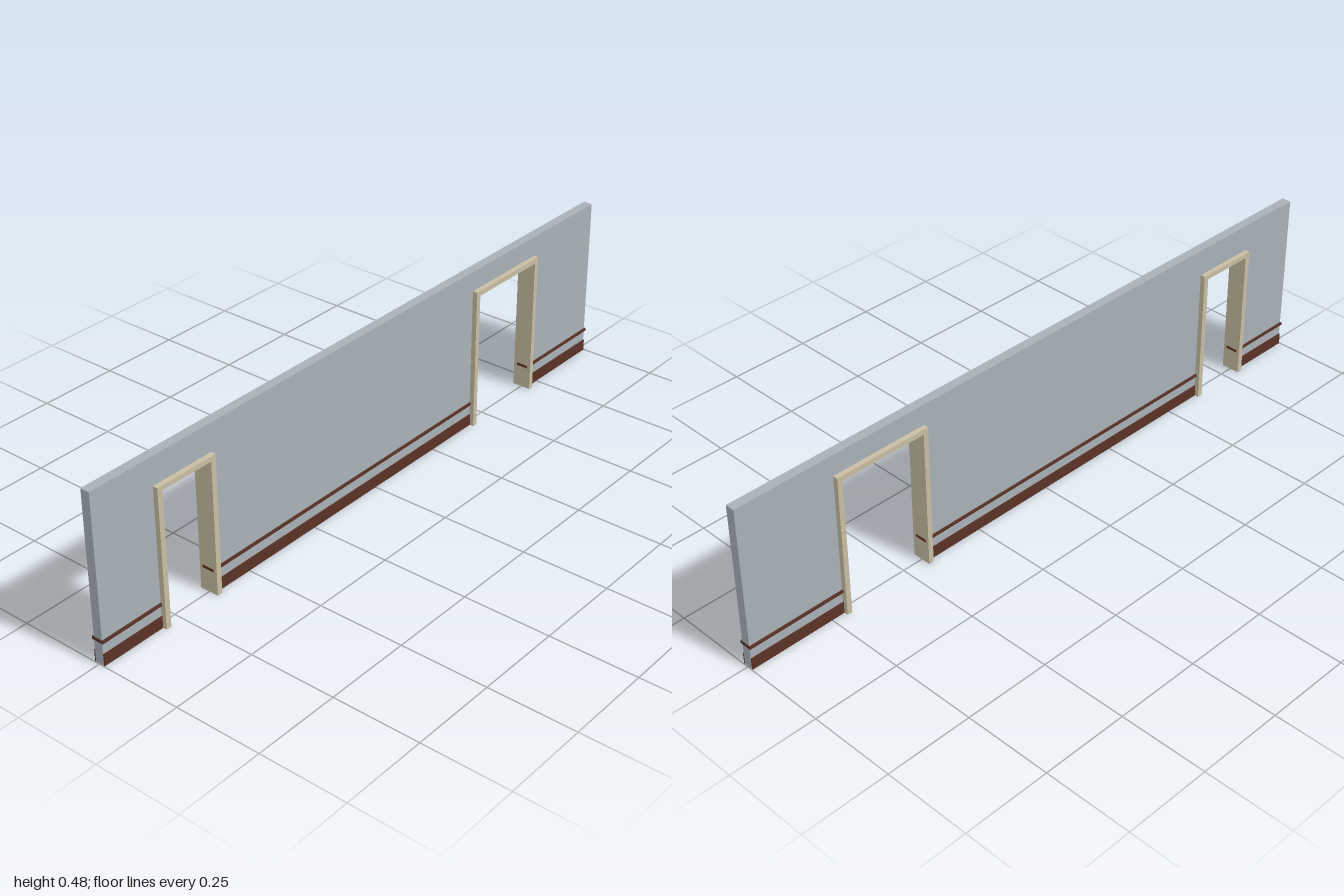
import * as THREE from 'three';

const material = (name, color) => {
  const m = new THREE.MeshStandardMaterial({ color });
  m.name = name;
  return m;
};

// outer and inner edges of the two door frames
const DOORS = [
  { x0: -0.806, x1: -0.612, top: 0.4, jamb: 0.016, head: 0.014 },
  { x0: 0.422, x1: 0.711, top: 0.42, jamb: 0.015, head: 0.015 },
];
const END = 0.998, HEIGHT = 0.479;
const WALL_Z = 0.0135, FRAME_Z = 0.028, RAIL_Z = 0.018, BASE_Z = 0.0163;

export function createModel() {
  const group = new THREE.Group();
  const wallPaint = material('wall grey', 0xa8b1b8);
  const framePaint = material('frame beige', 0xc9bda3);
  const wood = material('dark wood', 0x5a3225);

  // extrude an outline, centred on z = 0
  const slab = (name, points, halfDepth, mat) => {
    const shape = new THREE.Shape(points.map(([x, y]) => new THREE.Vector2(x, y)));
    const geo = new THREE.ExtrudeGeometry(shape, { depth: halfDepth * 2, bevelEnabled: false });
    geo.translate(0, 0, -halfDepth);
    const mesh = new THREE.Mesh(geo, mat);
    mesh.name = name;
    group.add(mesh);
  };
  const box = (name, x0, x1, y0, y1, z0, z1, mat) => {
    const mesh = new THREE.Mesh(new THREE.BoxGeometry(x1 - x0, y1 - y0, z1 - z0), mat);
    mesh.position.set((x0 + x1) / 2, (y0 + y1) / 2, (z0 + z1) / 2);
    mesh.name = name;
    group.add(mesh);
  };

  // wall with door notches, cut halfway into the frames
  const outline = [[-END, 0]];
  for (const d of DOORS) {
    const a = d.x0 + d.jamb / 2, b = d.x1 - d.jamb / 2, t = d.top - d.head / 2;
    outline.push([a, 0], [a, t], [b, t], [b, 0]);
  }
  outline.push([END, 0], [END, HEIGHT], [-END, HEIGHT]);
  slab('wall', outline, WALL_Z, wallPaint);

  // door frames
  for (const d of DOORS) {
    const a = d.x0 + d.jamb, b = d.x1 - d.jamb, t = d.top - d.head;
    slab('doorFrame', [
      [d.x0, 0], [a, 0], [a, t], [b, t], [b, 0], [d.x1, 0], [d.x1, d.top], [d.x0, d.top],
    ], FRAME_Z, framePaint);
  }

  // wooden trim along each stretch of wall between the doors
  const [p, q] = DOORS;
  const stretches = [[null, p], [p, q], [q, null]];
  for (const [left, right] of stretches) {
    // rail runs through the jambs and just shows on the reveals
    const r0 = left ? left.x1 - left.jamb - 0.001 : -1;
    const r1 = right ? right.x0 + right.jamb + 0.001 : 1;
    box('rail', r0, r1, 0.065, 0.073, -RAIL_Z, RAIL_Z, wood);
    // skirting boards on both faces
    const s0 = left ? left.x1 - 0.005 : -END;
    const s1 = right ? right.x0 + 0.005 : END;
    box('frontSkirting', s0, s1, 0, 0.034, WALL_Z, BASE_Z, wood);
    box('backSkirting', s0, s1, 0, 0.034, -BASE_Z, -WALL_Z, wood);
  }
  return group;
}
